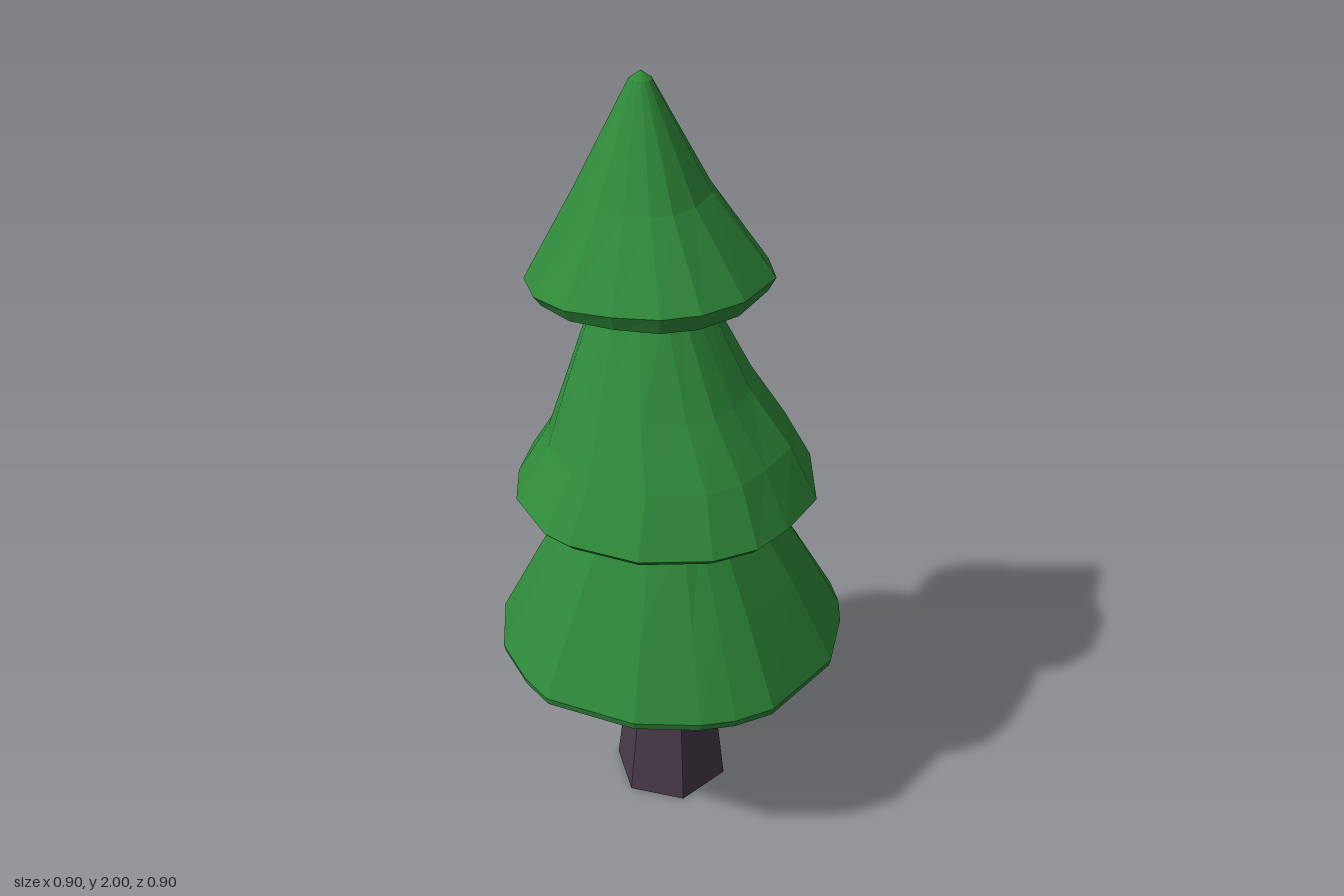
import * as THREE from 'three';

let seed = 7;
const rand = () => (seed = (seed * 16807) % 2147483647) / 2147483647 - 0.5;

// Skins an [x, z] outline through rings, bottom to top, and closes both ends.
// Ring: { y, x, z: centre, s: scale, tilt: [per x, per z], wobble }
function loft(name, outline, rings, bottomY, topY, color) {
  const xs = outline.map(p => p[0]), zs = outline.map(p => p[1]);
  const cx = (Math.min(...xs) + Math.max(...xs)) / 2;
  const cz = (Math.min(...zs) + Math.max(...zs)) / 2;
  const n = outline.length, pos = [], idx = [];
  for (const { y, x = cx, z = cz, s, tilt = [0, 0], wobble = 0 } of rings) {
    for (const [px, pz] of outline) {
      const k = s * (1 + wobble * rand());
      const dx = (px - cx) * k, dz = (pz - cz) * k;
      pos.push(x + dx, y + tilt[0] * dx + tilt[1] * dz, z + dz);
    }
  }
  const last = rings.length - 1, low = rings.length * n, high = low + 1;
  const centre = (r, y) => pos.push(r.x ?? cx, y, r.z ?? cz);
  centre(rings[0], bottomY);
  centre(rings[last], topY);
  for (let i = 0; i < n; i++) {
    const j = (i + 1) % n;
    for (let r = 0; r < last; r++) {
      const a = r * n + i, b = r * n + j;
      idx.push(a, a + n, b, b, a + n, b + n);
    }
    idx.push(low, i, j, high, last * n + j, last * n + i);
  }
  const indexed = new THREE.BufferGeometry();
  indexed.setAttribute('position', new THREE.Float32BufferAttribute(pos, 3));
  indexed.setIndex(idx);
  const geometry = indexed.toNonIndexed();
  geometry.computeVertexNormals();
  const mesh = new THREE.Mesh(geometry, new THREE.MeshStandardMaterial({ color, flatShading: true }));
  mesh.name = name;
  return mesh;
}

export function createModel() {
  seed = 7;
  const tree = new THREE.Group();
  tree.name = 'pineTree';
  const green = 0x2f8a3a, bark = 0x4a3b4a;

  // Six-sided tapering trunk with a slight bend
  const hexagon = [[-0.15, 0.035], [-0.07, -0.1], [0.08, -0.1], [0.16, 0.035], [0.08, 0.17], [-0.07, 0.17]];
  tree.add(loft('trunk', hexagon, [
    { y: 0, s: 1 },
    { y: 0.32, z: 0.033, s: 0.76 },
    { y: 0.55, z: 0.03, s: 0.68 },
  ], 0, 0.55, bark));

  // Wide bottom skirt of foliage
  const lower = [
    [-0.45, -0.08], [-0.31, -0.33], [-0.12, -0.44], [-0.04, -0.455], [0.06, -0.45], [0.15, -0.435],
    [0.23, -0.4], [0.38, -0.26], [0.42, -0.18], [0.44, -0.1], [0.45, 0.07], [0.35, 0.3], [0.27, 0.37],
    [0.19, 0.41], [0.03, 0.45], [-0.21, 0.42], [-0.29, 0.36], [-0.39, 0.25], [-0.45, 0.08],
  ];
  tree.add(loft('lowerFoliage', lower, [
    { y: 0.48, s: 0.99 },
    { y: 0.5, s: 1 },
    { y: 0.72, z: 0.01, s: 0.75, wobble: 0.03 },
    { y: 0.94, z: 0.03, s: 0.49, wobble: 0.03 },
    { y: 1.0, z: 0.03, s: 0.36 },
  ], 0.48, 1.0, green));

  // Middle skirt, leaning slightly to one side
  const middle = [
    [-0.39, -0.04], [-0.33, -0.18], [-0.24, -0.29], [-0.14, -0.35], [0.01, -0.37], [0.16, -0.35],
    [0.25, -0.26], [0.32, -0.18], [0.38, 0.02], [0.34, 0.17], [0.29, 0.27], [0.2, 0.345],
    [0.03, 0.4], [-0.15, 0.38], [-0.22, 0.35], [-0.34, 0.225], [-0.38, 0.1],
  ];
  tree.add(loft('middleFoliage', middle, [
    { y: 0.92, s: 0.6, wobble: 0.04 },
    { y: 0.94, s: 0.95 },
    { y: 0.96, s: 1 },
    { y: 1.1, x: 0, s: 0.8, wobble: 0.03 },
    { y: 1.24, x: -0.028, z: 0.01, s: 0.61, wobble: 0.04 },
    { y: 1.47, x: -0.06, z: -0.02, s: 0.35, wobble: 0.04 },
    { y: 1.53, x: -0.06, z: -0.02, s: 0.27 },
  ], 0.94, 1.53, green));

  // Tilted top cone
  const upper = [
    [-0.36, 0.05], [-0.325, -0.1], [-0.285, -0.21], [-0.19, -0.275], [-0.05, -0.305], [0.08, -0.27],
    [0.19, -0.19], [0.24, -0.06], [0.205, 0.11], [0.13, 0.21], [0.045, 0.255], [-0.07, 0.26],
    [-0.19, 0.24], [-0.29, 0.17],
  ];
  tree.add(loft('upperFoliage', upper, [
    { y: 1.465, s: 0.6, wobble: 0.05 },
    { y: 1.475, s: 0.94, tilt: [0.03, 0.05] },
    { y: 1.5, s: 1, tilt: [0.07, 0.1] },
    { y: 1.72, x: -0.075, z: -0.03, s: 0.54, wobble: 0.06 },
    { y: 1.98, x: -0.09, z: -0.05, s: 0.09 },
  ], 1.475, 2, green));

  return tree;
}
